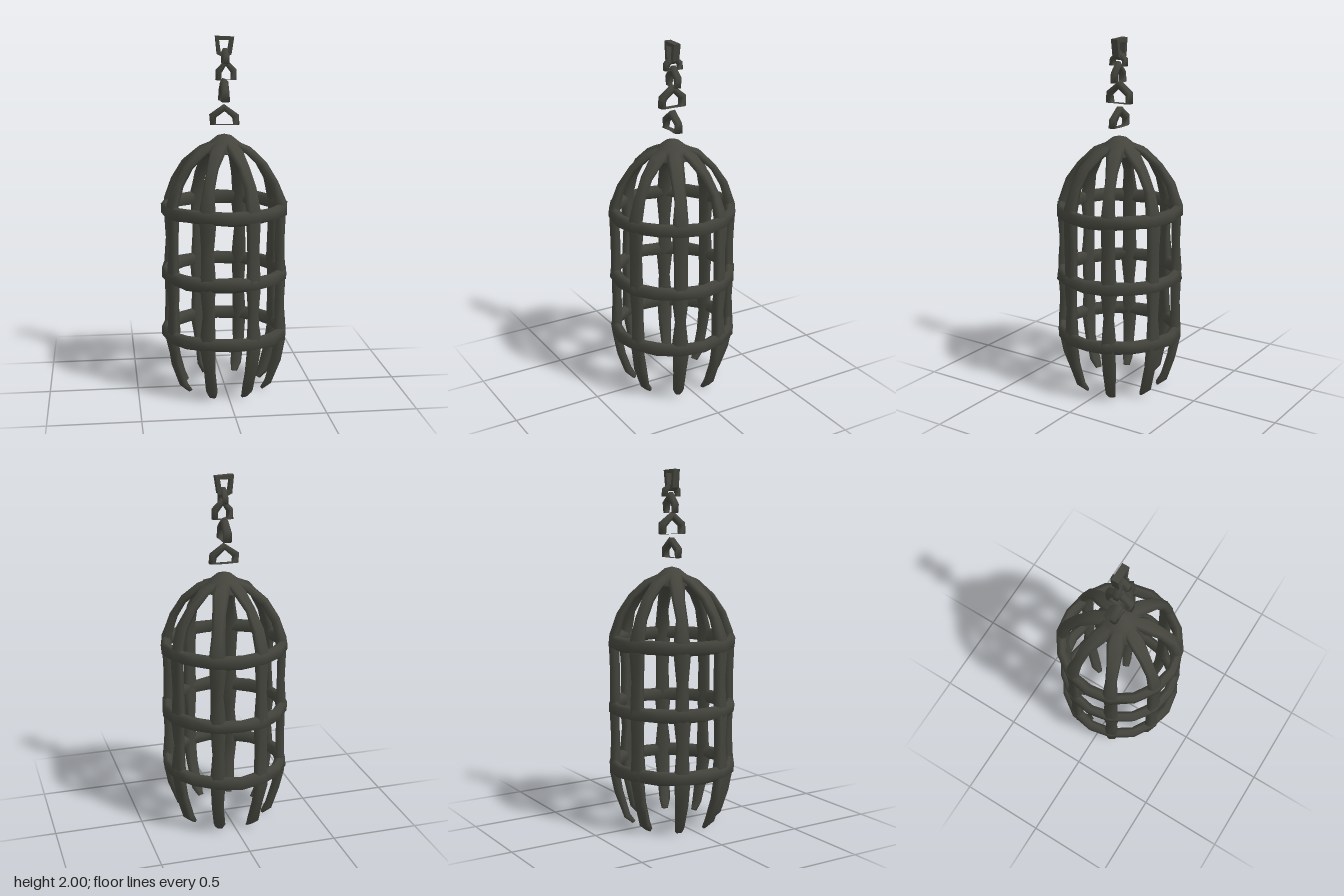
import * as THREE from 'three';

const iron = new THREE.MeshStandardMaterial({ color: 0x44443d });
iron.name = 'darkIron';

// Small seeded wobble that gives the hand-forged look
let seed = 7;
const wobble = (amount) => {
  seed = (seed * 16807) % 2147483647;
  return (seed / 2147483647 - 0.5) * 2 * amount;
};

// Six-sided flat bar section: [across, outward]
const SECTION = [[1, 0], [0.65, 1], [-0.65, 1], [-1, 0], [-0.65, -1], [0.65, -1]];

// Sweep the section along stations of { p, n (outward), d (direction), w (width), t (thickness) }
function sweep(stations, closed) {
  const pos = [], index = [], m = SECTION.length, count = stations.length;
  for (const { p, n, d, w, t } of stations) {
    const s = new THREE.Vector3().crossVectors(n, d);
    for (const [a, b] of SECTION) {
      const v = p.clone().addScaledVector(s, a * w / 2 + wobble(0.005)).addScaledVector(n, b * t / 2 + wobble(0.004));
      pos.push(v.x, Math.max(v.y, 0), v.z);
    }
  }
  for (let i = 0; i < (closed ? count : count - 1); i++) {
    const k = ((i + 1) % count) * m;
    for (let j = 0; j < m; j++) {
      const a = i * m + j, b = i * m + (j + 1) % m, c = k + (j + 1) % m, e = k + j;
      index.push(a, b, c, a, c, e);
    }
  }
  if (!closed) {
    const last = (count - 1) * m;
    for (let j = 1; j < m - 1; j++) index.push(0, j + 1, j, last, last + j, last + j + 1);
  }
  const g = new THREE.BufferGeometry();
  g.setAttribute('position', new THREE.Float32BufferAttribute(pos, 3));
  g.setIndex(index);
  g.computeVertexNormals();
  return g;
}

// Bar profile: radius, height, width, thickness
const BAR = [
  [0.225, 0.005, 0.04, 0.02], [0.262, 0.05, 0.062, 0.04], [0.305, 0.18, 0.068, 0.046],
  [0.325, 0.30, 0.085, 0.05], [0.325, 0.38, 0.085, 0.05], [0.322, 0.51, 0.066, 0.046],
  [0.325, 0.64, 0.085, 0.05], [0.325, 0.72, 0.085, 0.05], [0.322, 0.86, 0.068, 0.046],
  [0.325, 1.01, 0.085, 0.05], [0.322, 1.09, 0.085, 0.05], [0.288, 1.20, 0.066, 0.042],
  [0.225, 1.30, 0.072, 0.036], [0.14, 1.375, 0.09, 0.036], [0.03, 1.425, 0.06, 0.03],
];

function barGeometry(angle) {
  const out = new THREE.Vector3(Math.cos(angle), 0, Math.sin(angle));
  const up = new THREE.Vector3(0, 1, 0);
  return sweep(BAR.map(([r, y, w, t], i) => {
    const a = BAR[Math.max(i - 1, 0)], b = BAR[Math.min(i + 1, BAR.length - 1)];
    const dr = b[0] - a[0], dy = b[1] - a[1], len = Math.hypot(dr, dy);
    return {
      p: out.clone().multiplyScalar(r).setY(y),
      d: out.clone().multiplyScalar(dr / len).addScaledVector(up, dy / len),
      n: out.clone().multiplyScalar(dy / len).addScaledVector(up, -dr / len),
      w, t,
    };
  }), false);
}

function hoopGeometry(y) {
  const stations = [];
  for (let i = 0; i < 16; i++) {
    const a = i * Math.PI / 8;
    const n = new THREE.Vector3(Math.cos(a), 0, Math.sin(a));
    const d = new THREE.Vector3(-Math.sin(a), 0, Math.cos(a));
    stations.push({ p: n.clone().multiplyScalar(0.331).setY(y + wobble(0.004)), n, d, w: 0.077, t: 0.052 });
  }
  return sweep(stations, true);
}

export function createModel() {
  seed = 7;
  const model = new THREE.Group();
  model.name = 'hangingCage';
  const add = (geometry, name) => {
    const mesh = new THREE.Mesh(geometry, iron);
    mesh.name = name;
    model.add(mesh);
    return mesh;
  };

  // Eight upright bars, curling inward at the foot and meeting at the crown
  for (let i = 0; i < 8; i++) add(barGeometry((i + 0.5) * Math.PI / 4), 'cageBar' + (i + 1));

  // Three hoops
  [['lowerHoop', 0.34], ['middleHoop', 0.68], ['upperHoop', 1.05]].forEach(([name, y]) => add(hoopGeometry(y), name));

  // Solid crown where the bars join
  const crown = [[0, 1.365], [0.10, 1.36], [0.135, 1.368], [0.09, 1.415], [0.04, 1.455], [0, 1.465]];
  add(new THREE.LatheGeometry(crown.map(([r, y]) => new THREE.Vector2(r, y)), 16), 'crown');

  // Chain links: centre height, half width, half height, iron radius, quarter turn, sideways shift
  const links = [
    [1.515, 0.064, 0.092, 0.018, 0, 0],
    [1.645, 0.062, 0.105, 0.018, 1, 0],
    [1.76, 0.042, 0.095, 0.017, 0, 0.01],
    [1.85, 0.040, 0.068, 0.015, 1, 0.005],
  ];
  links.forEach(([y, hw, hh, r, turn, x], i) => {
    const loop = [];
    for (let k = 0; k < 6; k++) {
      const a = Math.PI / 2 + k * Math.PI / 3;
      const n = new THREE.Vector3(Math.cos(a) * hw / 0.866, Math.sin(a) * hh, 0);
      const d = new THREE.Vector3(-Math.sin(a), Math.cos(a), 0);
      const out = new THREE.Vector3(Math.cos(a), Math.sin(a), 0);
      loop.push({ p: n, n: out, d, w: r * 2.4, t: r * 2 });
    }
    const link = add(sweep(loop, true), 'chainLink' + (i + 1));
    link.position.set(x, y, 0);
    link.rotation.y = turn * Math.PI / 2;
  });

  // Squared-off link at the top end of the chain
  const frame = new THREE.Shape([[-0.05, 0.055], [-0.04, -0.045], [0.0, -0.065], [0.038, -0.045], [0.053, 0.05]]
    .map(([x, y]) => new THREE.Vector2(x, y)));
  frame.holes.push(new THREE.Path([[-0.03, 0.032], [0.028, 0.032], [0.018, -0.03], [-0.022, -0.03]]
    .map(([x, y]) => new THREE.Vector2(x, y))));
  const top = new THREE.ExtrudeGeometry(frame, { depth: 0.04, bevelEnabled: false });
  top.translate(0, 0, -0.02);
  add(top, 'topLink').position.set(0, 1.945, 0);

  return model;
}
